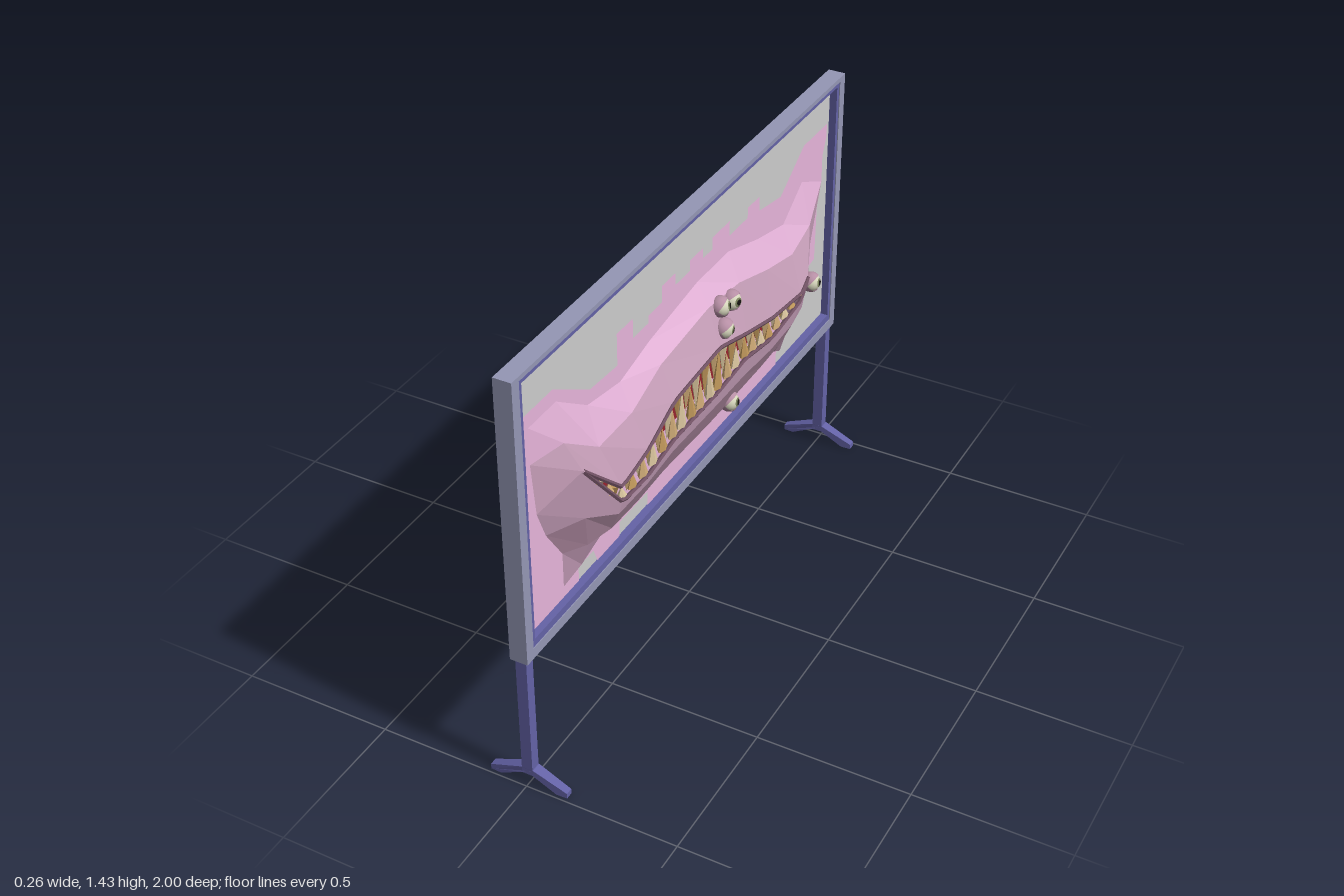
import * as THREE from 'three';

const BLUE = 0x6462a6, STEEL = 0x9496b4, PINK = 0xe6b4da;

function mat(color, flat = true) {
  return new THREE.MeshStandardMaterial({ color, flatShading: flat, side: THREE.DoubleSide });
}

function add(parent, name, geometry, material, x = 0, y = 0, z = 0) {
  const mesh = new THREE.Mesh(geometry, material);
  mesh.name = name;
  mesh.position.set(x, y, z);
  parent.add(mesh);
  return mesh;
}

// Outline in (-z, y), turned so that it faces +x
function facing(points) {
  return new THREE.Shape(points.map(([u, v]) => new THREE.Vector2(u, v)));
}

function rect(u, y0, y1) {
  return [[-u, y0], [u, y0], [u, y1], [-u, y1]];
}

// Rectangular ring from x0 to x1
function ring(outer, inner, x0, x1) {
  const shape = facing(outer);
  shape.holes.push(facing(inner));
  const geo = new THREE.ExtrudeGeometry(shape, { depth: x1 - x0, bevelEnabled: false });
  return geo.rotateY(Math.PI / 2).translate(x0, 0, 0);
}

// Surface between two rows of [x, y, z] points
function strip(top, bottom) {
  const pos = [...top, ...bottom].flat(), index = [], n = top.length;
  for (let i = 0; i < n - 1; i++) index.push(i, n + i, n + i + 1, i, n + i + 1, i + 1);
  const geo = new THREE.BufferGeometry();
  geo.setAttribute('position', new THREE.Float32BufferAttribute(pos, 3));
  geo.setIndex(index);
  geo.computeVertexNormals();
  return geo;
}

// Point on a row at a given z
function sample(row, z) {
  for (let i = 0; i < row.length - 1; i++) {
    const a = row[i], b = row[i + 1];
    if (z <= a[2] && z >= b[2]) {
      const t = (a[2] - z) / (a[2] - b[2]);
      return a.map((v, k) => v + (b[k] - v) * t);
    }
  }
  return row[row.length - 1];
}

function buildBoard(parent) {
  const board = new THREE.Group();
  board.name = 'board';
  parent.add(board);
  add(board, 'frame', ring(rect(1, 0.48, 1.43), rect(0.965, 0.515, 1.415), -0.03, 0.028), mat(STEEL));
  add(board, 'innerFrame', ring(rect(0.966, 0.514, 1.416), rect(0.95, 0.54, 1.4), -0.03, 0.025), mat(BLUE));
  add(board, 'panel', new THREE.BoxGeometry(0.03, 0.9, 1.92), mat(0xcccccc), -0.015, 0.965, 0);
  add(board, 'backPanel', new THREE.BoxGeometry(0.02, 0.85, 1.84), mat(0x868a9c), -0.026, 0.965, 0);
  // Blocky painted patch behind the face
  const patch = facing([
    [-.945, 1.265], [-.77, 1.265], [-.58, 1.15], [-.43, 1.14], [-.43, 1.245], [-.34, 1.245], [-.34, 1.18],
    [-.25, 1.18], [-.25, 1.205], [-.17, 1.205], [-.17, 1.26], [-.09, 1.26], [-.09, 1.22], [0, 1.22],
    [0, 1.255], [.08, 1.255], [.08, 1.22], [.14, 1.22], [.14, 1.26], [.25, 1.26], [.25, 1.21], [.37, 1.21],
    [.37, 1.245], [.45, 1.245], [.45, 1.195], [.6, 1.17], [.76, 1.275], [.93, 1.275], [.93, 1.23],
    [.88, 1.115], [.87, .8], [.73, .78], [.595, .58], [.595, .54], [-.27, .54], [-.27, .59], [-.44, .59],
    [-.44, .54], [-.57, .54], [-.59, .59], [-.675, .59], [-.675, .54], [-.945, .54],
  ]);
  add(board, 'paintedPatch', new THREE.ShapeGeometry(patch).rotateY(Math.PI / 2), mat(PINK), 0.003, 0, 0);
}

function buildLegs(parent) {
  const foot = new THREE.Shape([[-.13, 0], [-.095, 0], [-.018, .042], [.018, .042], [.095, 0], [.13, 0],
    [.13, .018], [.02, .063], [-.02, .063], [-.13, .018]].map(p => new THREE.Vector2(...p)));
  const footGeo = new THREE.ExtrudeGeometry(foot, { depth: 0.036, bevelEnabled: false }).translate(0, 0, -0.018);
  const p = footGeo.attributes.position;
  for (let i = 0; i < p.count; i++) p.setZ(i, p.getZ(i) * (1 - 2.5 * Math.abs(p.getX(i))));
  for (const side of [1, -1]) {
    add(parent, 'leg', new THREE.BoxGeometry(0.036, 0.44, 0.034), mat(BLUE), 0, 0.27, side * 0.975);
    add(parent, 'foot', footGeo, mat(BLUE), 0, 0, side * 0.975);
  }
}

function buildFace(parent) {
  const face = new THREE.Group();
  face.name = 'face';
  parent.add(face);
  // Rows run from +z to -z; the first and last columns lie on the board
  const z = [.88, .708, .547, .40, .247, -.0375, -.21, -.397, -.61, -.67, -.83];
  const bulge = [.005, .05, .078, .083, .085, .085, .085, .083, .08, .075, .005];
  const row = (ys, depth, zs = z) => ys.map((y, i) => [Math.max(.005, bulge[i] * depth), y, zs[i]]);
  const zTop = [.9, .76, .60, .42, .25, -.04, -.24, -.44, -.62, -.75, -.9];
  const zLow = [.84, .70, .56, .40, .247, -.04, -.21, -.397, -.56, -.64, -.72];
  const zEnd = [.76, .66, .55, .40, .247, -.04, -.21, -.397, -.53, -.58, -.62];
  const top = row([1.22, 1.22, 1.11, 1.08, 1.12, 1.16, 1.16, 1.10, 1.06, 1.15, 1.24], 0, zTop);
  const brow = row([1.1, 1.09, .98, .985, 1.05, 1.08, 1.06, 1.0, .96, 1.0, 1.08], .5, zTop);
  const upper = row([.92, .97, .82, .86, .933, .954, .906, .858, .83, .858, .88], 1);
  const lower = row([.92, .97, .767, .77, .80, .80, .815, .783, .804, .858, .88], 1);
  const jaw = row([.82, .80, .73, .735, .755, .75, .75, .735, .74, .76, .77], .95, zLow);
  const chin = row([.70, .67, .66, .66, .67, .66, .66, .66, .665, .67, .68], .55, zEnd);
  const end = row([.58, .59, .62, .63, .63, .63, .63, .63, .62, .6, .58], 0, zEnd);
  add(face, 'forehead', strip(top, brow), mat(PINK));
  add(face, 'upperFace', strip(brow, upper), mat(0xc8a0ba));
  add(face, 'lowerFace', strip(lower, jaw), mat(0xb893ac));
  add(face, 'jaw', strip(jaw, chin), mat(0xa58298));
  add(face, 'chin', strip(chin, end), mat(0xb892ac));
  const inward = r => r.slice(1, -1).map(([x, y, d]) => [x * .45, y, d]);
  add(face, 'mouth', strip(inward(upper), inward(lower)), mat(0x96242e));

  // Dark lip rims along both edges of the mouth
  for (const edge of [upper, lower]) {
    const path = new THREE.CatmullRomCurve3(edge.slice(1, -1).map(q => new THREE.Vector3(...q)), false, 'catmullrom', 0.05);
    add(face, 'lip', new THREE.TubeGeometry(path, 48, 0.007, 5), mat(0x6f5062));
  }

  // Interlocking teeth, longer where the mouth is wider
  const colors = [0xd0ac78, 0xc39a5c, 0xddc8a0].map(c => mat(c));
  const count = 46;
  for (let i = 0; i < count; i++) {
    const at = .69 - 1.33 * (i + .5) / count;
    const a = sample(upper, at), b = sample(lower, at);
    const gap = a[1] - b[1], down = i % 2 === 0;
    const len = gap * (.8 + .15 * Math.sin(i * 2.3));
    if (len < .012) continue;
    const geo = new THREE.ConeGeometry(.021, len, 5).scale(.75, down ? -1 : 1, 1);
    if (down) geo.index.array.reverse();
    const y = down ? a[1] - len / 2 : b[1] + len / 2;
    const tooth = add(face, down ? 'upperTooth' : 'lowerTooth', geo, colors[i % 3], a[0] - .012, y, at);
    tooth.rotation.x = .08 * Math.sin(i * 1.7);
  }
}

function buildEyes(parent) {
  const r = 0.031;
  const ball = new THREE.SphereGeometry(r, 16, 12);
  const lid = new THREE.SphereGeometry(r * 1.1, 16, 8, 0, Math.PI * 2, 0, Math.PI / 2);
  const cap = (size, angle) => new THREE.SphereGeometry(r * size, 12, 4, 0, Math.PI * 2, 0, angle).rotateZ(-Math.PI / 2);
  // x, y, z, turn about y, tilt about z
  const eyes = [[.052, 1.056, -.10, .3, .2], [.052, 1.04, -.17, -.2, .1], [.07, .99, -.09, .25, -.1],
    [.05, .79, -.75, .1, .1], [.05, .668, -.17, .1, .1]];
  for (const [x, y, z, turn, tilt] of eyes) {
    const eye = new THREE.Group();
    eye.name = 'eye';
    eye.position.set(x, y, z);
    eye.rotation.set(0, turn, tilt);
    parent.add(eye);
    add(eye, 'eyeball', ball, mat(0xd6d6bc, false));
    add(eye, 'iris', cap(1.02, .5), mat(0x77805a, false));
    add(eye, 'pupil', cap(1.04, .3), mat(0x14120f, false));
    add(eye, 'eyelid', lid, mat(0xb890a6, false)).rotation.z = .75;
    add(eye, 'lowerLid', lid, mat(0xa88398, false)).rotation.z = 2.2;
  }
}

export function createModel() {
  const model = new THREE.Group();
  model.name = 'monsterBoard';
  buildBoard(model);
  buildLegs(model);
  buildFace(model);
  buildEyes(model);
  return model;
}
